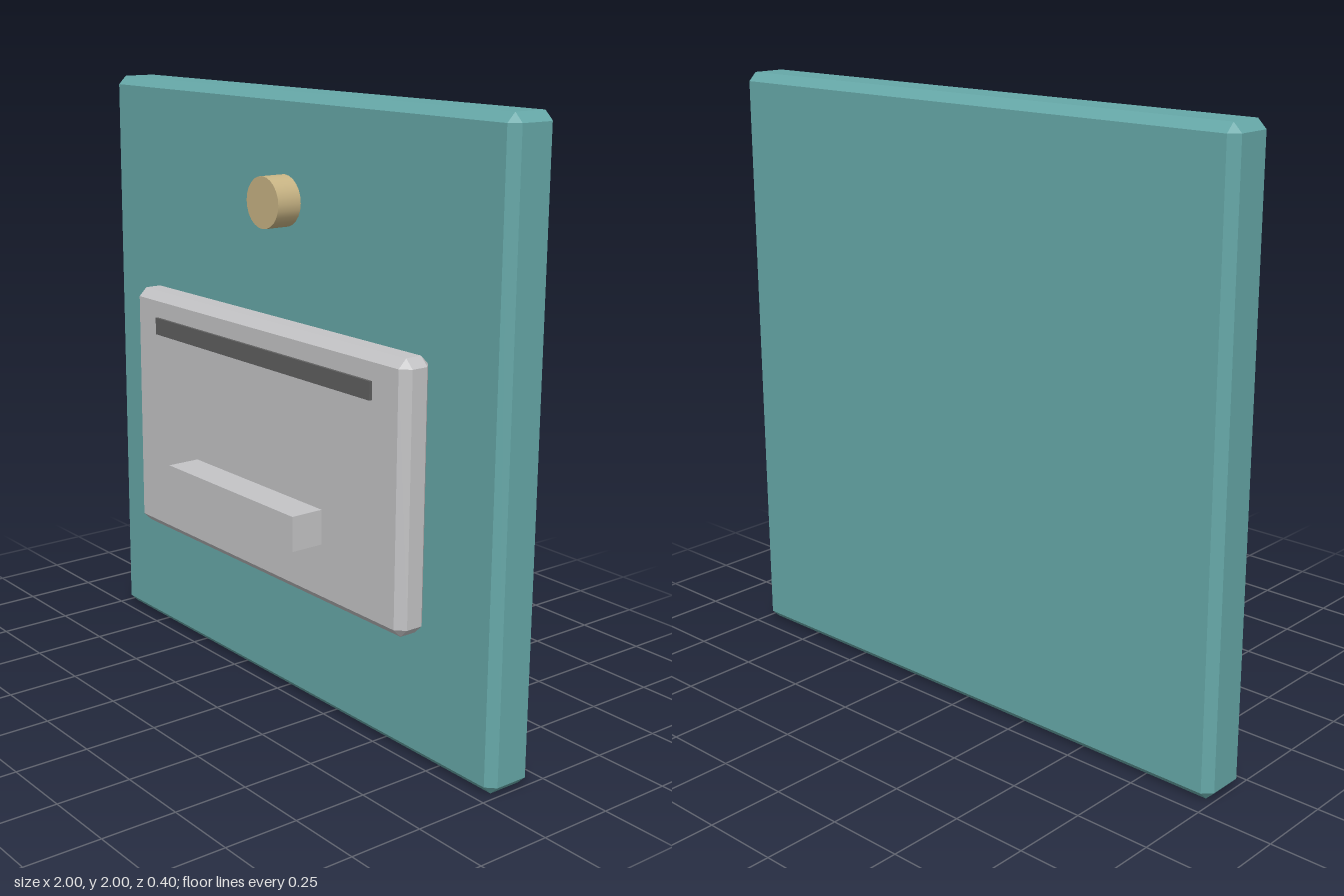
import * as THREE from 'three';
import { ConvexGeometry } from 'three/addons/geometries/ConvexGeometry.js';

const material = (name, color) => {
  const m = new THREE.MeshStandardMaterial({ color });
  m.name = name;
  return m;
};

// Box with every edge and corner cut at 45 degrees
function chamferedBox(w, h, d, c) {
  const half = [w / 2, h / 2, d / 2];
  const points = [];
  for (const sx of [-1, 1]) for (const sy of [-1, 1]) for (const sz of [-1, 1]) {
    for (let face = 0; face < 3; face++) {
      const p = half.map((v, i) => (i === face ? v : v - c));
      points.push(new THREE.Vector3(p[0] * sx, p[1] * sy, p[2] * sz));
    }
  }
  return new ConvexGeometry(points);
}

export function createModel() {
  const group = new THREE.Group();
  const teal = material('teal', 0x66a8a8);
  const grey = material('light grey', 0xc4c4c6);
  const dark = material('dark grey', 0x606060);
  const tan = material('tan', 0xc8b484);

  const add = (name, geometry, mat, y, z) => {
    const mesh = new THREE.Mesh(geometry, mat);
    mesh.name = name;
    mesh.position.set(0, y, z);
    group.add(mesh);
    return mesh;
  };

  // Wall panel and raised front plate
  add('backPanel', chamferedBox(2, 2, 0.171, 0.0285), teal, 1, -0.1145);
  add('frontPlate', chamferedBox(1.428, 0.857, 0.114, 0.0285), grey, 0.861, 0.028);

  // Slot strip and handle ledge on the plate
  add('slot', new THREE.BoxGeometry(1.14, 0.058, 0.03), dark, 1.175, 0.08);
  add('handle', new THREE.BoxGeometry(0.68, 0.114, 0.13), grey, 0.69, 0.135);

  // Round button
  const button = add('button', new THREE.CylinderGeometry(0.083, 0.083, 0.089, 24), tan, 1.661, 0.0145);
  button.rotation.x = Math.PI / 2;

  return group;
}
